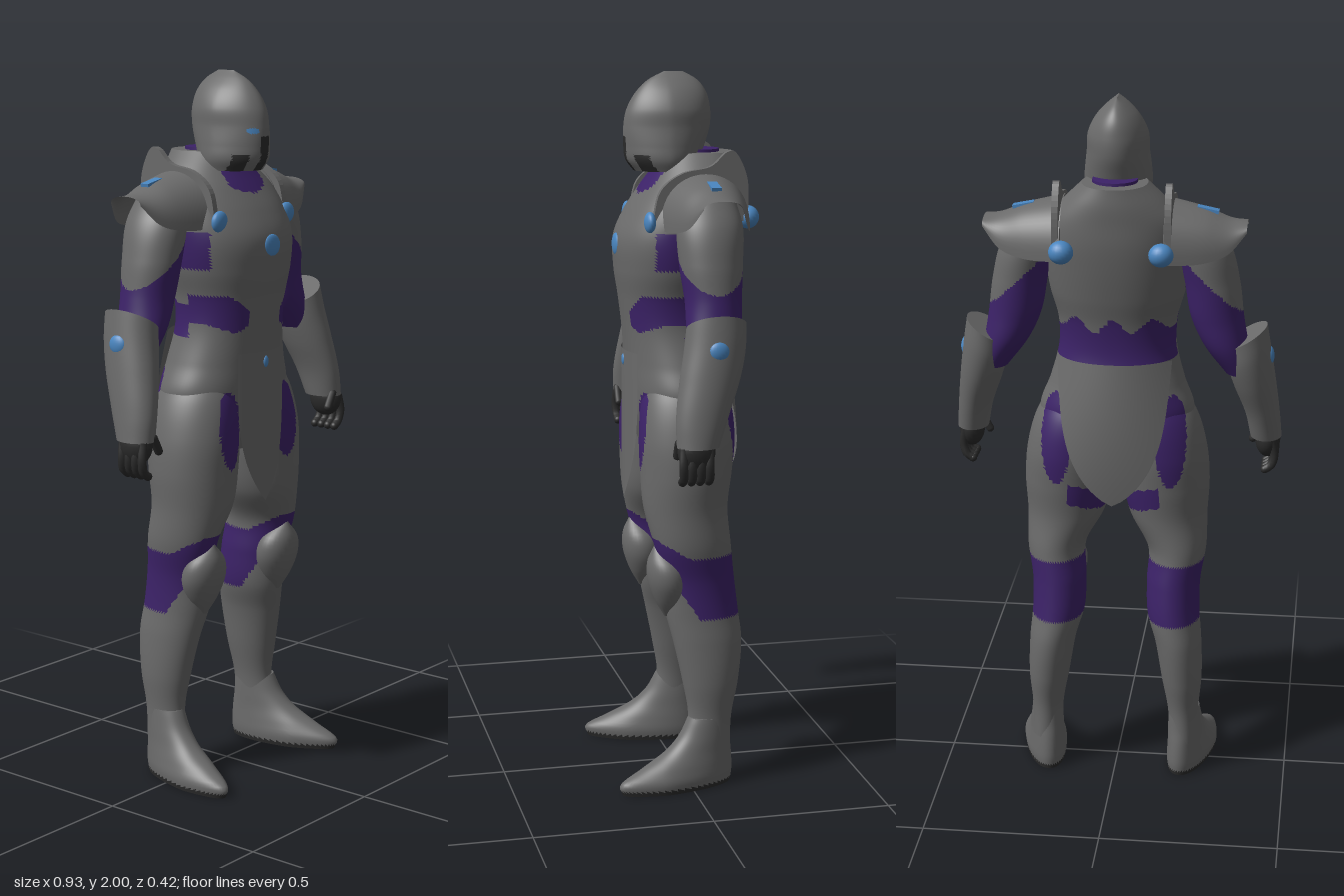
import * as THREE from 'three';

const material = (name, color, side = THREE.FrontSide) => {
  const m = new THREE.MeshStandardMaterial({ color, side });
  m.name = name;
  return m;
};

export function createModel() {
  const grey = material('greyArmour', 0x6a6a6a, THREE.DoubleSide);
  const purple = material('purpleSuit', 0x3c2268);
  const blue = material('blueGem', 0x4a86c0);
  const dark = material('darkTrim', 0x2b2b2b);
  const mats = [grey, purple, blue, dark];
  const GREY = 0, PURPLE = 1, BLUE = 2, DARK = 3;

  const add = (parent, name, geometry, mat, pos = [0, 0, 0], scale = [1, 1, 1]) => {
    const mesh = new THREE.Mesh(geometry, mat);
    mesh.name = name;
    mesh.position.set(...pos);
    mesh.scale.set(...scale);
    parent.add(mesh);
    return mesh;
  };

  // Smooth skin through horizontal rings [y, centreX, halfWidth, zFront, zBack], bottom to top.
  // paint(x, y, z) picks the colour of each face, warp(point) reshapes the result.
  function loft(parent, name, rings, paint = () => GREY, { round = 1, rows = 50, cols = 56, warp } = {}) {
    const spline = new THREE.CubicInterpolant(rings.map(r => r[0]), rings.flatMap(r => r.slice(1)), 4);
    const y0 = rings[0][0], y1 = rings[rings.length - 1][0];
    const pts = [], faces = mats.map(() => []);
    const bend = (c, s) => [Math.sign(c) * Math.abs(c) ** round, Math.sign(s) * Math.abs(s) ** round];
    for (let j = 0; j <= rows; j++) {
      const y = y0 + (y1 - y0) * j / rows;
      const [cx, rx, zf, zb] = spline.evaluate(y);
      for (let i = 0; i < cols; i++) {
        const a = i / cols * Math.PI * 2;
        const [c, s] = bend(Math.cos(a), Math.sin(a));
        const p = new THREE.Vector3(cx + c * rx, y, (zf + zb) / 2 + s * (zf - zb) / 2);
        if (warp) warp(p);
        pts.push(p);
      }
    }
    const face = (a, b, c) => {
      const m = new THREE.Vector3().add(pts[a]).add(pts[b]).add(pts[c]).divideScalar(3);
      faces[paint(m.x, m.y, m.z)].push(a, b, c);
    };
    for (let j = 0; j < rows; j++) for (let i = 0; i < cols; i++) {
      const n = (i + 1) % cols, a = j * cols + i, d = j * cols + n;
      face(a, a + cols, d + cols);
      face(a, d + cols, d);
    }
    // end caps with their own corners so the rims stay sharp
    for (const row of [0, rows]) {
      const start = pts.length, ring = pts.slice(row * cols, row * cols + cols);
      const centre = ring.reduce((t, p) => t.add(p), new THREE.Vector3()).divideScalar(cols);
      pts.push(...ring, centre);
      for (let i = 0; i < cols; i++) {
        const a = start + i, b = start + (i + 1) % cols;
        if (row) face(start + cols, b, a); else face(start + cols, a, b);
      }
    }
    const g = new THREE.BufferGeometry().setFromPoints(pts);
    g.setIndex(faces.flat());
    let offset = 0;
    faces.forEach((f, k) => { if (f.length) g.addGroup(offset, f.length, k); offset += f.length; });
    g.computeVertexNormals();
    return add(parent, name, g, mats);
  }

  // Thin curved sheet: fn(u, v) gives a point, u and v run from 0 to 1
  function sheet(parent, name, fn) {
    const g = new THREE.PlaneGeometry(1, 1, 28, 28), pos = g.attributes.position;
    for (let i = 0; i < pos.count; i++) pos.setXYZ(i, ...fn(pos.getX(i) + 0.5, 0.5 - pos.getY(i)));
    g.computeVertexNormals();
    return add(parent, name, g, grey);
  }

  // Where the undersuit shows between the armour plates of body and legs
  const oval = (x, y, cx, cy, rx, ry) => ((x - cx) / rx) ** 2 + ((y - cy) / ry) ** 2 < 1;
  const suit = (x, y, z) => {
    const a = Math.abs(x);
    const waist = z > 0
      ? a > 0.07 && y > 1.288 + 0.5 * Math.abs(a - 0.105) && y < Math.min(1.395, 1.35 + 0.8 * (a - 0.07))
      : y > 1.275 && y < 1.385 + 0.02 * Math.cos(a * 60);
    const hip = z > 0 ? oval(a, y, 0.126, 1.015, 0.044, 0.11) : oval(a, y, 0.162, 1.05, 0.042, 0.13);
    const seat = z < -0.02 && a < 0.13 && Math.abs(y - 0.84 - 0.35 * a) < 0.033;
    const knee = y < 0.67 + z * (z > 0 ? 0.55 : 0) && y > Math.max(0.492, 0.53 + 1.5 * z);
    const neck = z > 0 && a < 0.075 && y > 1.668 + 4 * a * a;
    const armpit = a > 0.165 && z > -0.02 && z < 0.085 && y > 1.47 && y < 1.57;
    return waist || hip || seat || knee || neck || armpit ? PURPLE : GREY;
  };

  const model = new THREE.Group();
  model.name = 'armouredFigure';

  // Body
  loft(model, 'torso', [
    [0.95, 0, 0.13, 0.09, -0.12], [1.05, 0, 0.2, 0.122, -0.15], [1.12, 0, 0.218, 0.128, -0.152],
    [1.2, 0, 0.19, 0.133, -0.142], [1.3, 0, 0.165, 0.142, -0.125], [1.38, 0, 0.167, 0.152, -0.13],
    [1.46, 0, 0.188, 0.163, -0.148], [1.55, 0, 0.2, 0.162, -0.165], [1.62, 0, 0.2, 0.13, -0.174],
    [1.68, 0, 0.183, 0.09, -0.176], [1.73, 0, 0.14, 0.055, -0.177], [1.78, 0, 0.09, 0.025, -0.172],
  ], suit, { round: 0.92, rows: 100, cols: 96 });
  add(model, 'neck', new THREE.CylinderGeometry(0.062, 0.066, 0.13, 28), purple, [0, 1.723, -0.07]);

  // Pointed tabard in front and a broad seat plate behind
  sheet(model, 'frontTabard', (u, s) => {
    const x = (u * 2 - 1) * 0.1 * (1 - s ** 4);
    return [x, 1.23 - 0.43 * s, 0.142 - 2 * x * x];
  });
  sheet(model, 'seatPlate', (u, s) => {
    const x = (u * 2 - 1) * (0.16 - 0.03 * s) * (1 - s ** 4) ** 0.8;
    return [x, 1.28 - 0.41 * s, -0.15 - 0.026 * Math.sin(s * 2.4) + (2.6 - 2 * s) * x * x];
  });

  // Helmet with ridge, visor slit and cheek gaps
  loft(model, 'helmet', [
    [1.73, 0, 0.084, 0.11, -0.06], [1.76, 0, 0.094, 0.132, -0.075], [1.8, 0, 0.092, 0.138, -0.09],
    [1.85, 0, 0.086, 0.138, -0.105], [1.9, 0, 0.082, 0.128, -0.106], [1.95, 0, 0.056, 0.098, -0.092],
    [1.98, 0, 0.027, 0.065, -0.066], [2.0, 0, 0.002, 0.025, -0.03],
  ], (x, y, z) => {
    const a = Math.abs(x);
    if (z < 0.04) return GREY;
    if (oval(x, y, -0.035, 1.84, 0.014, 0.008)) return BLUE;
    const slit = a < 0.016 && y < 1.825, cheek = a > 0.045 && a < 0.075 && y < 1.775;
    return slit || cheek ? DARK : GREY;
  }, { rows: 70, cols: 80, warp: p => { if (p.z > 0.02) p.x *= 1 - 1.6 * (p.z - 0.02); } });

  // Centre gems
  const ball = new THREE.SphereGeometry(1, 20, 14);
  add(model, 'chestGem', ball, blue, [0, 1.526, 0.16], [0.036, 0.032, 0.011]);
  add(model, 'beltGem', ball, blue, [0, 1.2, 0.14], [0.011, 0.017, 0.007]);

  // Everything below is made for the left side and mirrored
  const left = new THREE.Group();
  left.name = 'leftSide';

  // Leg, kneecap and boot
  loft(left, 'leg', [
    [0.1, 0.203, 0.043, 0.015, -0.12], [0.2, 0.2, 0.045, 0, -0.125], [0.3, 0.195, 0.058, 0.015, -0.145],
    [0.42, 0.183, 0.067, 0.04, -0.157], [0.5, 0.168, 0.075, 0.058, -0.15], [0.6, 0.166, 0.077, 0.068, -0.138],
    [0.7, 0.174, 0.084, 0.092, -0.126], [0.8, 0.148, 0.111, 0.115, -0.122], [0.9, 0.14, 0.124, 0.122, -0.135],
    [1.0, 0.133, 0.123, 0.124, -0.145], [1.1, 0.115, 0.113, 0.112, -0.135], [1.18, 0.1, 0.08, 0.085, -0.1],
  ], suit, { rows: 120, cols: 72 });
  loft(left, 'kneecap', [
    [0.49, 0.167, 0.008, 0.062, 0.03], [0.54, 0.167, 0.048, 0.09, 0], [0.6, 0.167, 0.071, 0.109, -0.005],
    [0.65, 0.167, 0.06, 0.109, 0.01], [0.695, 0.167, 0.012, 0.092, 0.05],
  ], undefined, { rows: 20, cols: 32 });
  const boot = loft(left, 'boot', [
    [0, 0, 0.058, 0.207, -0.125], [0.03, 0, 0.062, 0.213, -0.13], [0.06, 0, 0.057, 0.155, -0.13],
    [0.1, 0, 0.05, 0.08, -0.127], [0.14, 0, 0.047, 0.035, -0.122], [0.2, 0, 0.043, 0, -0.12],
  ], (x, y) => y < 0.012 ? DARK : GREY, {
    rows: 24, round: 0.95, warp: p => { p.x *= 1 - 2.5 * Math.max(0, p.z - 0.09); },
  });
  boot.position.x = 0.215;
  boot.rotation.y = 0.21;

  // Arm: plated shoulder over suit sleeve, then a flared bracer
  loft(left, 'upperArm', [
    [1.24, 0.35, 0.045, 0.02, -0.09], [1.32, 0.308, 0.062, 0.03, -0.118], [1.4, 0.282, 0.073, 0.03, -0.125],
    [1.5, 0.266, 0.076, 0.042, -0.132], [1.6, 0.243, 0.073, 0.043, -0.137], [1.68, 0.21, 0.055, 0.02, -0.12],
  ], (x, y) => y < 1.43 + 0.94 * (0.345 - x) ? PURPLE : GREY, { rows: 70, cols: 64 });
  loft(left, 'bracer', [
    [1.03, 0.42, 0.044, 0.085, -0.03], [1.1, 0.41, 0.048, 0.085, -0.055], [1.2, 0.387, 0.057, 0.07, -0.095],
    [1.28, 0.371, 0.06, 0.055, -0.114], [1.35, 0.361, 0.058, 0.045, -0.118],
  ], undefined, { rows: 30, warp: p => { p.y += 0.6 * (p.x - 0.37) * Math.max(0, (p.y - 1.1) / 0.25); } });
  add(left, 'bracerGem', ball, blue, [0.425, 1.285, -0.028], [0.015, 0.029, 0.029]);

  // Hand with curled fingers
  add(left, 'palm', ball, dark, [0.425, 1.02, 0.033], [0.036, 0.055, 0.052]);
  for (let i = 0; i < 4; i++) {
    const z = -0.002 + i * 0.024;
    const path = new THREE.CatmullRomCurve3([
      new THREE.Vector3(0.437, 1.03, z), new THREE.Vector3(0.446, 0.98, z + 0.003),
      new THREE.Vector3(0.437, 0.948, z), new THREE.Vector3(0.42, 0.936, z),
    ]);
    add(left, 'finger', new THREE.TubeGeometry(path, 10, 0.012, 8), dark);
    add(left, 'fingertip', ball, dark, [0.42, 0.936, z], [0.012, 0.012, 0.012]);
  }
  const thumb = add(left, 'thumb', new THREE.CapsuleGeometry(0.012, 0.045, 4, 10), dark, [0.392, 1.02, 0.075]);
  thumb.rotation.z = -0.5;

  // Pauldron: arched shell narrowing to its outer tip
  const arch = new THREE.CubicInterpolant([0, 0.5, 0.8, 1], [
    0.13, 1.735, 1.58, 0.102, 1.708, 1.582, 0.077, 1.682, 1.605, 0.053, 1.676, 1.655,
  ], 3);
  sheet(left, 'pauldron', (u, v) => {
    const [r, top, base] = arch.evaluate(u), a = v * Math.PI;
    return [0.14 + 0.22 * u, base + (top - base) * Math.sin(a) ** 0.8, -0.055 + r * Math.cos(a)];
  });
  const inlay = add(left, 'pauldronInlay', new THREE.BoxGeometry(0.06, 0.009, 0.027), blue, [0.252, 1.706, -0.057]);
  inlay.rotation.z = -0.2;

  // Thin upright fin over the shoulder, drawn in (z, y), with a gem at each end
  const fin = new THREE.Shape();
  fin.moveTo(0.09, 1.6);
  fin.splineThru([
    [0.07, 1.685], [0.01, 1.732], [-0.07, 1.75], [-0.115, 1.788], [-0.145, 1.783], [-0.175, 1.71], [-0.175, 1.6],
  ].map(p => new THREE.Vector2(...p)));
  const finGeometry = new THREE.ExtrudeGeometry(fin, { depth: 0.018, bevelEnabled: false, curveSegments: 5 });
  add(left, 'shoulderFin', finGeometry.rotateY(-Math.PI / 2), grey, [0.161, 0, 0]);
  add(left, 'frontGem', ball, blue, [0.147, 1.6, 0.096], [0.03, 0.03, 0.016]);
  add(left, 'backGem', ball, blue, [0.135, 1.608, -0.182], [0.034, 0.032, 0.031]);

  const right = left.clone();
  right.name = 'rightSide';
  right.scale.x = -1;
  model.add(left, right);
  return model;
}
